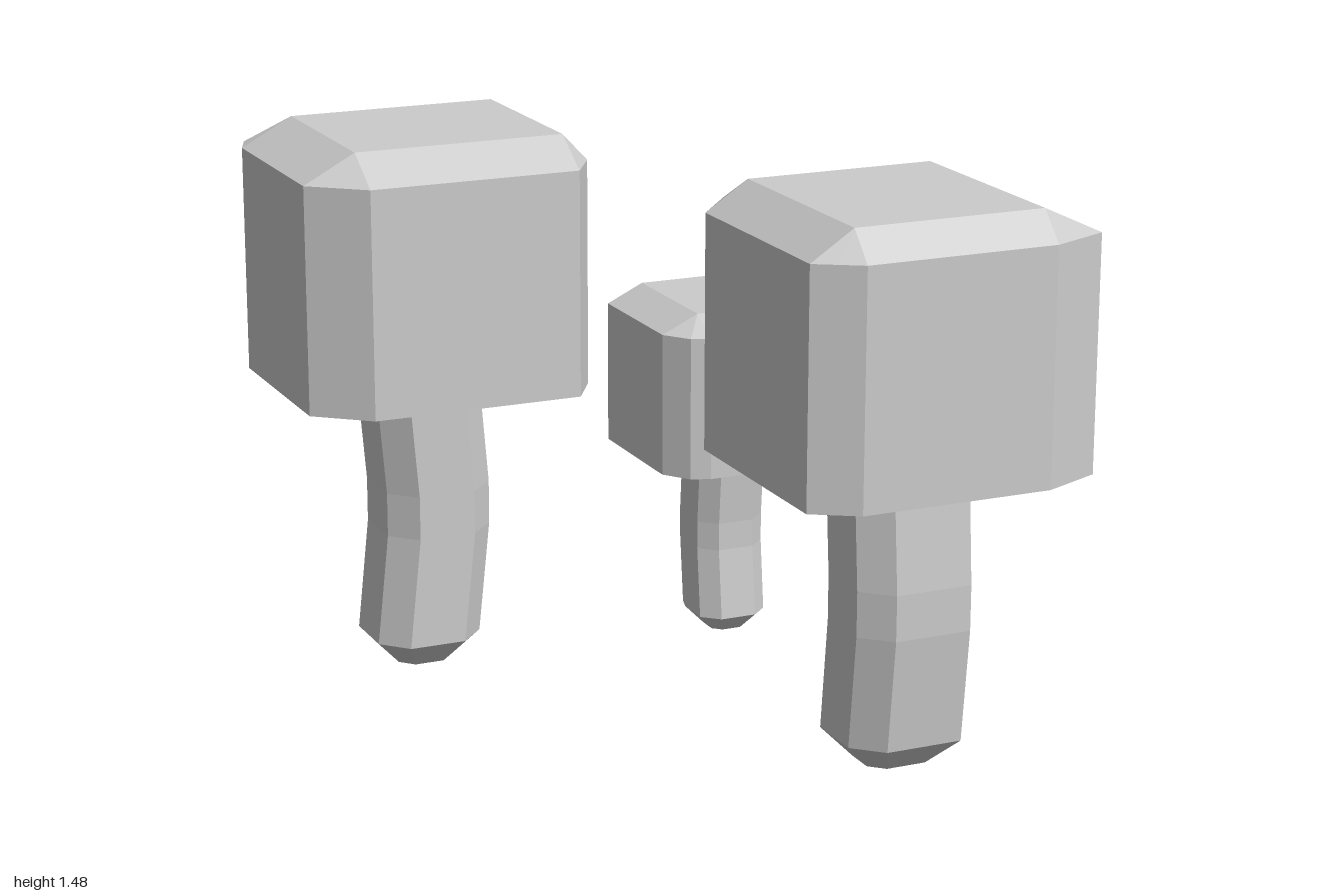
import * as THREE from 'three';

// Flat-shaded skin through a chain of equal-length rings, closed at both ends
function loft(rings) {
  const pos = [];
  const n = rings[0].length;
  const same = (a, b) => a.distanceToSquared(b) < 1e-10;
  const tri = (a, b, c) => {
    if (same(a, b) || same(b, c) || same(a, c)) return;
    for (const p of [a, b, c]) pos.push(p.x, p.y, p.z);
  };
  for (let r = 0; r + 1 < rings.length; r++) {
    for (let i = 0; i < n; i++) {
      const j = (i + 1) % n;
      tri(rings[r][i], rings[r][j], rings[r + 1][j]);
      tri(rings[r][i], rings[r + 1][j], rings[r + 1][i]);
    }
  }
  const first = rings[0], last = rings[rings.length - 1];
  for (let i = 1; i + 1 < n; i++) {
    tri(first[0], first[i + 1], first[i]);
    tri(last[0], last[i], last[i + 1]);
  }
  const geo = new THREE.BufferGeometry();
  geo.setAttribute('position', new THREE.Float32BufferAttribute(pos, 3));
  geo.computeVertexNormals();
  return geo;
}

// Place a 2D outline [x, z] at a height, scaled and shifted along x
const ring = (outline, y, s = 1, dx = 0) =>
  outline.map(([x, z]) => new THREE.Vector3(x * s + dx, y, z * s));

const HALF = 0.3925;

// Each corner: signs, bevel widths along x and z, and where its middle point sits
const CORNERS = [
  { sx: -1, sz: 1, bx: 0.14, bz: 0.115, mx: 0.5, mz: 0.5 },
  { sx: 1, sz: 1, bx: 0.07, bz: 0.115, mx: 0.5, mz: 0.5 },
  { sx: 1, sz: -1, bx: 0.07, bz: 0.16, mx: 0.5, mz: 0.5 },
  { sx: -1, sz: -1, bx: 0.14, bz: 0.16, mx: 0.22, mz: 0.5 },
];

// Block-shaped cap with uneven bevels and a shallow hollow underneath
function capGeometry() {
  const outline = [], top = [];
  for (const { sx, sz, bx, bz, mx, mz } of CORNERS) {
    const onSide = [sx * HALF, sz * (HALF - bz)];
    const mid = [sx * (HALF - bx * mx), sz * (HALF - bz * mz)];
    const onFront = [sx * (HALF - bx), sz * HALF];
    outline.push(...(sx * sz < 0 ? [onSide, mid, onFront] : [onFront, mid, onSide]));
    for (let i = 0; i < 3; i++) top.push([sx * (HALF - bx), sz * (HALF - bz)]);
  }
  return loft([
    ring(outline, 0.945, 0.95), // hollow ceiling
    ring(outline, 0.79, 0.95),  // inner rim
    ring(outline, 0.79),        // outer rim
    ring(outline, 1.4),
    ring(top, 1.475),
  ]);
}

// Eight-sided stem, bowed to one side, with a bevelled foot
function stemGeometry() {
  const outline = [
    [-0.08, 0.152], [0.077, 0.152], [0.147, 0.078], [0.147, -0.13],
    [0.077, -0.152], [-0.08, -0.152], [-0.147, -0.08], [-0.147, 0.08],
  ];
  return loft([
    ring(outline, 0, 0.52),
    ring(outline, 0.075),
    ring(outline, 0.38, 1, 0.033),
    ring(outline, 0.5, 1, 0.033),
    ring(outline, 0.95, 1, -0.004),
  ]);
}

export function createModel() {
  const group = new THREE.Group();
  group.name = 'mushrooms';
  const material = new THREE.MeshStandardMaterial({ color: 0xcccccc, flatShading: true });
  const capGeo = capGeometry();
  const stemGeo = stemGeometry();

  // One mushroom design, turned and scaled for each copy
  const copies = [
    { name: 'backMushroom', at: [-0.4075, 0, -0.6075], turn: 0, size: 1, stem: [-0.015, 0.04] },
    { name: 'frontMushroom', at: [0.4025, 0, 0.6075], turn: -Math.PI / 2, size: 1, stem: [0.02, 0] },
    { name: 'smallMushroom', at: [0.4, 0.042, -0.372], turn: Math.PI / 2, size: 0.637, stem: [-0.04, 0] },
  ];
  for (const { name, at, turn, size, stem } of copies) {
    const mushroom = new THREE.Group();
    mushroom.name = name;
    const capMesh = new THREE.Mesh(capGeo, material);
    capMesh.name = 'cap';
    const stemMesh = new THREE.Mesh(stemGeo, material);
    stemMesh.name = 'stem';
    stemMesh.position.set(stem[0], 0, stem[1]);
    mushroom.add(capMesh, stemMesh);
    mushroom.position.set(...at);
    mushroom.rotation.y = turn;
    mushroom.scale.setScalar(size);
    group.add(mushroom);
  }
  return group;
}
